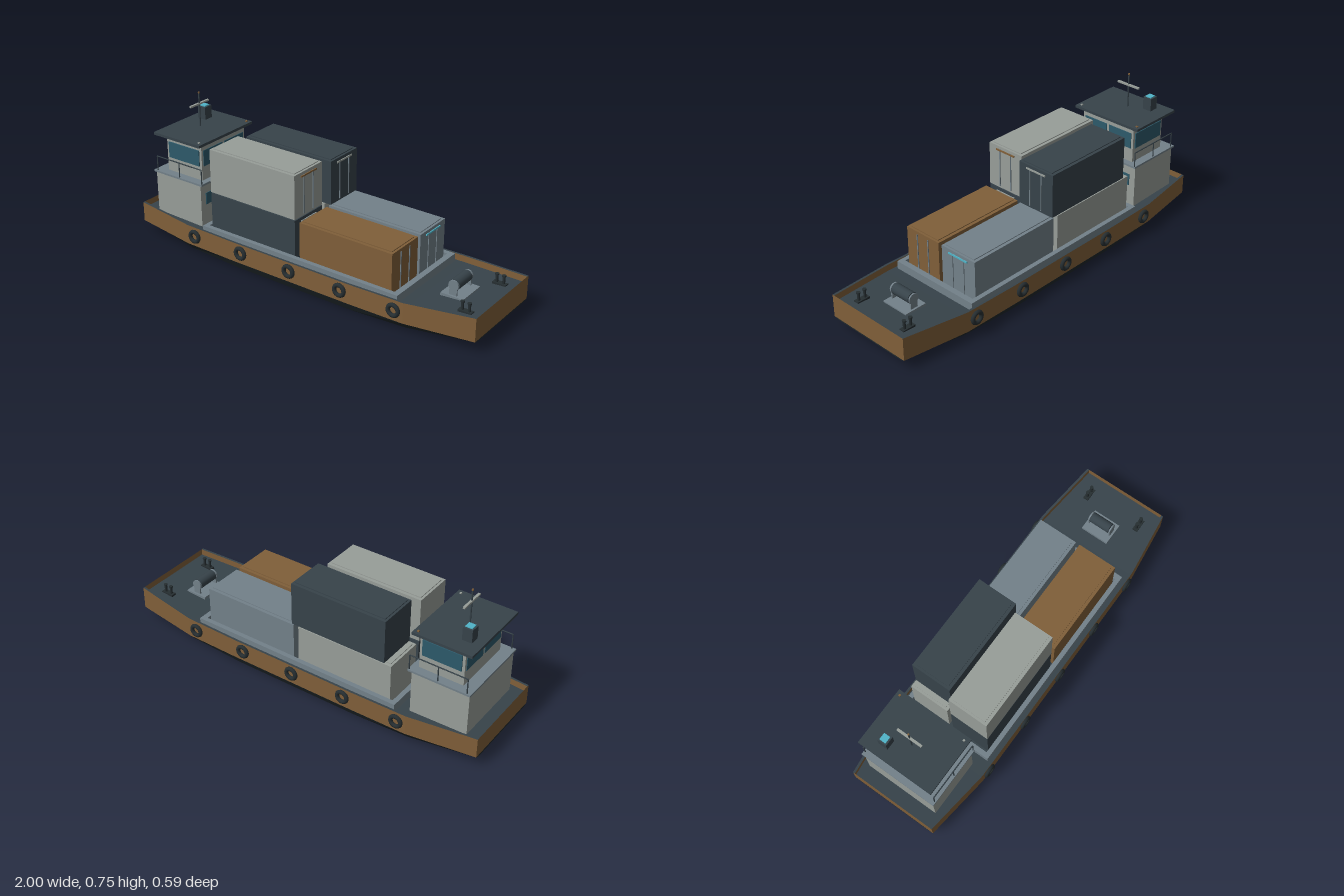
import * as THREE from 'three';

const mat = (name, color, side = THREE.FrontSide) => {
  const m = new THREE.MeshStandardMaterial({ color, side });
  m.name = name;
  return m;
};

export function createModel() {
  const ochre = mat('ochre', 0x805f39, THREE.DoubleSide);
  const dark = mat('dark slate', 0x37434a, THREE.DoubleSide);
  const bottom = mat('bottom paint', 0x20282b, THREE.DoubleSide);
  const black = mat('rubber black', 0x262e31);
  const light = mat('light grey', 0x989e99);
  const slate = mat('slate grey', 0x73818a);
  const glass = mat('window teal', 0x2d5a6b);
  const cyan = mat('cyan', 0x50b4c8);

  const root = new THREE.Group();
  root.name = 'containerBarge';

  const add = (parent, name, geo, m, x = 0, y = 0, z = 0) => {
    const mesh = new THREE.Mesh(geo, m);
    mesh.name = name;
    mesh.position.set(x, y, z);
    parent.add(mesh);
    return mesh;
  };
  // Box given by its limits on each axis
  const box = (parent, name, m, x0, x1, y0, y1, z0, z1) =>
    add(parent, name, new THREE.BoxGeometry(x1 - x0, y1 - y0, z1 - z0), m,
      (x0 + x1) / 2, (y0 + y1) / 2, (z0 + z1) / 2);
  const rod = (parent, name, m, a, b, r, sides = 6) => {
    const p = new THREE.Vector3(...a), q = new THREE.Vector3(...b);
    const d = q.clone().sub(p);
    const mesh = add(parent, name, new THREE.CylinderGeometry(r, r, d.length(), sides), m);
    mesh.position.copy(p).addScaledVector(d, 0.5);
    mesh.quaternion.setFromUnitVectors(new THREE.Vector3(0, 1, 0), d.normalize());
    return mesh;
  };
  const group = (name, parent = root) => {
    const g = new THREE.Group();
    g.name = name;
    parent.add(g);
    return g;
  };

  // Hull stations: x, sheer height, side half width, chine height, keel half width, keel height
  const stations = [
    [-1, 0.165, 0.237, 0.06, 0.215, 0.05],
    [-0.65, 0.155, 0.28, 0.05, 0.25, 0.012],
    [-0.35, 0.15, 0.28, 0.046, 0.253, 0],
    [0.35, 0.15, 0.28, 0.046, 0.253, 0],
    [0.65, 0.157, 0.28, 0.05, 0.25, 0.015],
    [1, 0.182, 0.238, 0.062, 0.215, 0.055],
  ];
  const line = (f) => stations.map((s) => [s[0], ...f(...s)]);
  // Ruled strip between two lines of points
  const strip = (name, m, a, b) => {
    const pos = [];
    for (let i = 0; i < a.length - 1; i++) {
      pos.push(...a[i], ...b[i], ...b[i + 1], ...a[i], ...b[i + 1], ...a[i + 1]);
    }
    const geo = new THREE.BufferGeometry();
    geo.setAttribute('position', new THREE.Float32BufferAttribute(pos, 3));
    geo.computeVertexNormals();
    add(hull, name, geo, m);
  };
  const hull = group('hull');
  const bulwark = 0.033;
  const edge = (s) => ({
    rim: line((x, top, w) => [top, s * w]),
    inner: line((x, top, w) => [top, s * (w - 0.012)]),
    deck: line((x, top, w) => [top - bulwark, s * (w - 0.012)]),
    chine: line((x, top, w, cy) => [cy, s * w]),
    keel: line((x, top, w, cy, kw, ky) => [ky, s * kw]),
  });
  const L = edge(1), R = edge(-1);
  strip('leftSide', ochre, L.chine, L.rim);
  strip('rightSide', ochre, R.rim, R.chine);
  strip('leftBilge', bottom, L.keel, L.chine);
  strip('rightBilge', bottom, R.chine, R.keel);
  strip('bottomPlate', bottom, R.keel, L.keel);
  strip('deck', dark, L.deck, R.deck);
  strip('leftGunwale', dark, L.rim, L.inner);
  strip('rightGunwale', dark, R.inner, R.rim);
  strip('leftBulwark', ochre, L.inner, L.deck);
  strip('rightBulwark', ochre, R.deck, R.inner);
  const n = stations.length - 1;
  strip('bowPlate', ochre, [L.rim[n], R.rim[n]], [L.chine[n], R.chine[n]]);
  strip('bowFoot', bottom, [L.chine[n], R.chine[n]], [L.keel[n], R.keel[n]]);
  strip('transom', ochre, [R.rim[0], L.rim[0]], [R.chine[0], L.chine[0]]);
  strip('transomFoot', bottom, [R.chine[0], L.chine[0]], [R.keel[0], L.keel[0]]);

  // Tyre fenders
  const fenders = group('fenders');
  for (const s of [-1, 1]) {
    for (const x of [-0.6, -0.3, 0, 0.3, 0.6]) {
      add(fenders, 'tyre', new THREE.TorusGeometry(0.027, 0.011, 8, 20), black, x, 0.105, s * 0.285);
    }
  }

  // Hold coaming
  const coaming = group('coaming');
  for (const s of [-1, 1]) {
    box(coaming, 'coamingSide', slate, -0.57, 0.6, 0.11, 0.164, s * 0.24 - 0.012, s * 0.24 + 0.012);
  }
  box(coaming, 'coamingAft', slate, -0.57, -0.545, 0.11, 0.164, -0.228, 0.228);
  box(coaming, 'coamingForward', slate, 0.57, 0.6, 0.11, 0.164, -0.228, 0.228);

  // Containers with roof panel and door fittings on the forward end
  const container = (name, m, x0, y0, side, label, barMat) => {
    const g = group(name);
    const len = 0.525, h = 0.228, zc = side * 0.118, w = 0.2145;
    box(g, 'body', m, x0, x0 + len, y0, y0 + h, zc - w / 2, zc + w / 2);
    box(g, 'roofPanel', m, x0 + 0.012, x0 + len - 0.012, y0 + h, y0 + h + 0.004, zc - 0.091, zc + 0.091);
    const x1 = x0 + len;
    for (const d of [-0.036, 0.036]) {
      box(g, 'lockBar', barMat, x1, x1 + 0.004, y0 + 0.01, y0 + h - 0.015, zc + d - 0.0025, zc + d + 0.0025);
    }
    if (label) box(g, 'doorStripe', label, x1, x1 + 0.005, y0 + h - 0.024, y0 + h - 0.016, zc - 0.06, zc + 0.06);
  };
  const low = 0.12, high = 0.353;
  container('darkLowerContainer', dark, -0.528, low, 1, light, slate);
  container('ochreContainer', ochre, 0.025, low, 1, null, slate);
  container('lightUpperContainer', light, -0.528, high, 1, ochre, slate);
  container('lightLowerContainer', light, -0.528, low, -1, ochre, slate);
  container('slateContainer', slate, 0.025, low, -1, cyan, slate);
  container('darkUpperContainer', dark, -0.49, high, -1, light, slate);

  // Deckhouse and wheelhouse
  const house = group('deckhouse');
  box(house, 'lowerHouse', light, -0.923, -0.622, 0.115, 0.352, -0.2, 0.2);
  box(house, 'bridgeDeck', slate, -0.93, -0.605, 0.352, 0.362, -0.21, 0.21);
  box(house, 'wheelhouse', light, -0.87, -0.638, 0.362, 0.556, -0.165, 0.165);
  box(house, 'roof', dark, -0.922, -0.615, 0.556, 0.57, -0.205, 0.205);
  for (const z of [-0.13, 0, 0.13]) {
    box(house, 'cabinWindow', glass, -0.622, -0.618, 0.235, 0.297, z - 0.035, z + 0.035);
  }
  for (const s of [-1, 1]) {
    const z = s * 0.167;
    box(house, 'sideWindow', glass, -0.856, -0.652, 0.437, 0.522, z - 0.003, z + 0.003);
    for (const x of [-0.87, -0.638]) {
      box(house, 'endWindow', glass, x - 0.003, x + 0.003, 0.437, 0.522, s * 0.08 - 0.072, s * 0.08 + 0.072);
    }
  }

  // Bridge railings
  const rails = group('railings');
  for (const s of [-1, 1]) {
    const z = s * 0.203;
    for (const x of [-0.91, -0.76, -0.61]) rod(rails, 'post', dark, [x, 0.36, z], [x, 0.44, z], 0.003);
    rod(rails, 'sideRail', dark, [-0.91, 0.44, z], [-0.61, 0.44, z], 0.003);
  }

  // Roof equipment
  const top = group('roofEquipment');
  box(top, 'funnel', dark, -0.872, -0.822, 0.57, 0.638, -0.125, -0.075);
  box(top, 'funnelCap', cyan, -0.865, -0.829, 0.638, 0.643, -0.117, -0.083);
  rod(top, 'mast', dark, [-0.79, 0.57, 0], [-0.79, 0.748, 0], 0.004, 8);
  rod(top, 'mastLight', ochre, [-0.79, 0.747, 0], [-0.79, 0.755, 0], 0.005, 8);
  box(top, 'radarBar', light, -0.796, -0.784, 0.687, 0.696, -0.068, 0.068);
  box(top, 'rightLamp', ochre, -0.642, -0.632, 0.57, 0.575, -0.19, -0.18);
  box(top, 'leftLamp', light, -0.642, -0.632, 0.57, 0.575, 0.175, 0.185);

  // Anchor winch
  const winch = group('winch');
  box(winch, 'winchBase', slate, 0.72, 0.84, 0.12, 0.144, -0.077, 0.077);
  rod(winch, 'drum', dark, [0.78, 0.193, -0.056], [0.78, 0.193, 0.056], 0.028, 14);
  for (const s of [-1, 1]) {
    rod(winch, 'flange', slate, [0.78, 0.193, s * 0.059], [0.78, 0.193, s * 0.067], 0.027, 14);
    box(winch, 'bracket', slate, 0.76, 0.8, 0.14, 0.195, s * 0.063 - 0.004, s * 0.063 + 0.004);
  }

  // Mooring bollards
  const bollards = group('bollards');
  for (const s of [-1, 1]) {
    const z = s * 0.155;
    box(bollards, 'bollardBase', black, 0.865, 0.935, 0.13, 0.15, z - 0.014, z + 0.014);
    for (const x of [0.882, 0.918]) {
      rod(bollards, 'bollardPost', black, [x, 0.145, z], [x, 0.19, z], 0.007, 10);
      rod(bollards, 'bollardHead', black, [x, 0.187, z], [x, 0.194, z], 0.01, 10);
    }
  }
  return root;
}
